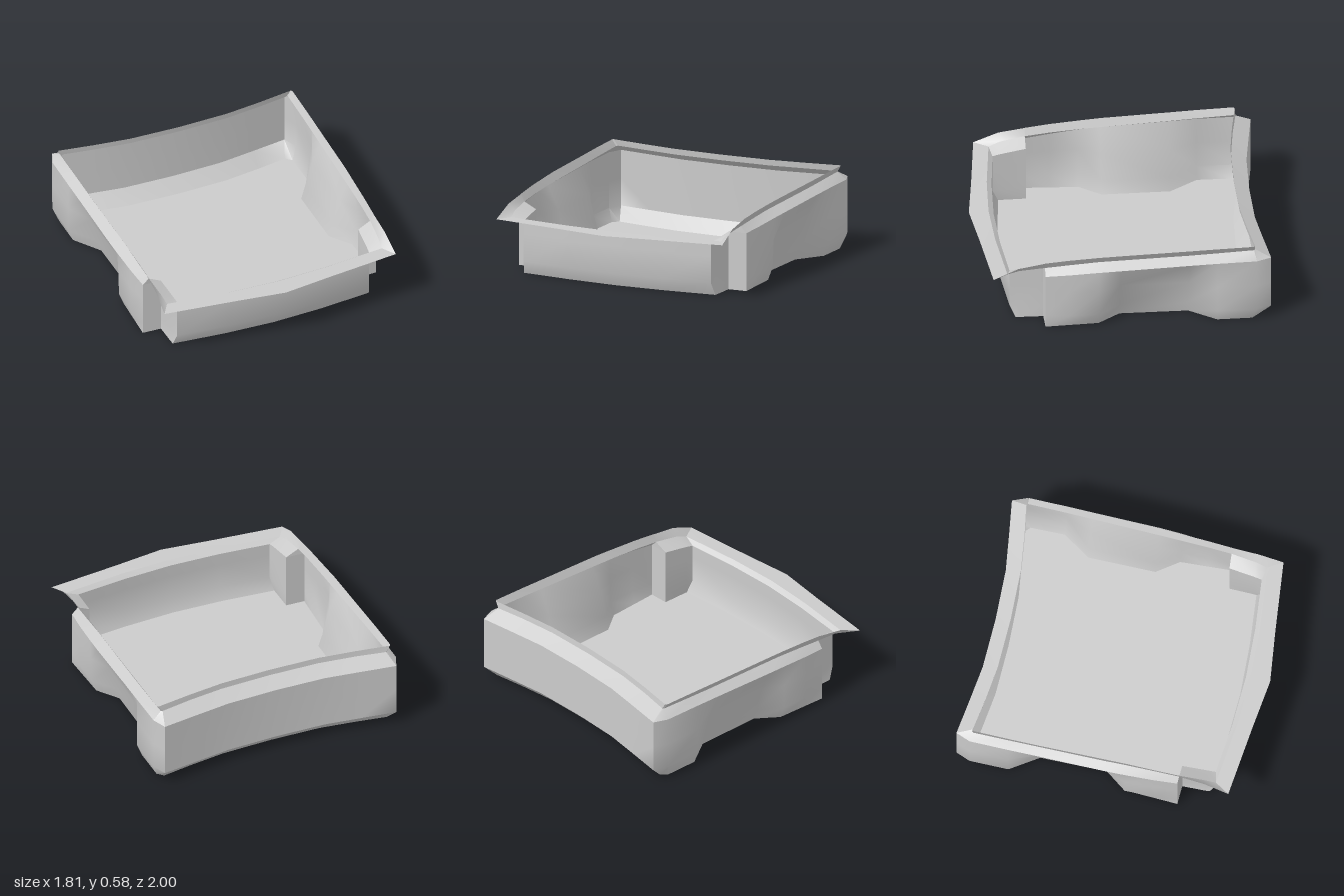
import * as THREE from 'three';
import { toCreasedNormals } from 'three/addons/utils/BufferGeometryUtils.js';

const material = new THREE.MeshStandardMaterial({ color: 0xcccccc, side: THREE.DoubleSide });

// Half outline of the wall's upper edge, back centre to front centre:
// x, z, y, inward dent, bottom inset in x, bottom inset in z
const wall = [
  [0, -0.92, 0.48, 0, 0, 0.09],
  [0.36, -0.93, 0.48, 0, 0, 0.09],
  [0.62, -0.965, 0.48, 0, 0, 0.09],
  [0.865, -1, 0.48, 0, 0.035, 0.09],
  [0.905, -0.9, 0.48, 0, 0.035, 0.03],
  [0.907, -0.63, 0.475, 0, 0.035, 0],
  [0.905, -0.44, 0.467, 1, 0.035, 0],
  [0.903, 0.03, 0.447, 1, 0.035, 0],
  [0.898, 0.18, 0.438, 0.1, 0.035, 0],
  [0.885, 0.38, 0.42, 0, 0.025, 0],
  [0.868, 0.545, 0.405, 0, 0, 0],
  [0.735, 0.55, 0.405, 0, 0, 0],
  [0.72, 0.73, 0.38, 0, -0.012, -0.02],
  [0.715, 0.78, 0.37, 0, -0.015, -0.04],
  [0.36, 0.815, 0.37, 0, 0, -0.04],
  [0, 0.83, 0.37, 0, 0, -0.04],
];

// Rim at the same stations: ledge x, z, y, then lip x, z, y
const rim = [
  [0, -0.815, 0.537, 0, -0.81, 0.578],
  [0.36, -0.825, 0.537, 0.36, -0.82, 0.578],
  [0.62, -0.857, 0.537, 0.62, -0.852, 0.578],
  [0.835, -0.893, 0.535, 0.865, -0.89, 0.578],
  [0.845, -0.885, 0.533, 0.873, -0.88, 0.578],
  [0.845, -0.63, 0.52, 0.872, -0.63, 0.57],
  [0.843, -0.44, 0.51, 0.87, -0.44, 0.562],
  [0.835, 0.03, 0.49, 0.865, 0.03, 0.544],
  [0.832, 0.18, 0.483, 0.86, 0.18, 0.535],
  [0.83, 0.38, 0.467, 0.855, 0.38, 0.52],
  [0.825, 0.545, 0.45, 0.85, 0.545, 0.502],
  [0.825, 0.55, 0.45, 0.85, 0.55, 0.5],
  [0.81, 0.72, 0.425, 0.854, 0.73, 0.47],
  [0.8, 0.8, 0.395, 0.862, 0.9, 0.395],
  [0.36, 0.848, 0.395, 0.36, 0.955, 0.392],
  [0, 0.865, 0.395, 0, 1, 0.39],
];

// Mirror a half row into a closed loop
function loop(half) {
  const other = half.slice(1, -1).reverse().map(([x, y, z]) => [-x, y, z]);
  return [...half, ...other];
}

// Skin closed loops of equal length
function loft(rows, crease) {
  const n = rows[0].length, index = [];
  for (let r = 0; r < rows.length - 1; r++) {
    for (let i = 0; i < n; i++) {
      const a = r * n + i, b = r * n + (i + 1) % n;
      index.push(a, a + n, b, b, a + n, b + n);
    }
  }
  const g = new THREE.BufferGeometry();
  g.setAttribute('position', new THREE.Float32BufferAttribute(rows.flat(2), 3));
  g.setIndex(index);
  return toCreasedNormals(g, crease);
}

export function createModel() {
  const group = new THREE.Group();
  const add = (name, geometry) => {
    const mesh = new THREE.Mesh(geometry, material);
    mesh.name = name;
    group.add(mesh);
  };

  // Wall levels: floor edge, chamfer top, middle, upper edge
  const bottom = loop(wall.map(([x, z, y, d, dx, dz]) => [x - dx - 0.125 * d, 0, z + dz]));
  const low = loop(wall.map(([x, z, y, d]) => [x - 0.13 * d, 0.09, z]));
  const middle = loop(wall.map(([x, z, y, d]) => [x - 0.08 * d, 0.28, z]));
  const top = loop(wall.map(([x, z, y]) => [x, y, z]));
  add('tubWall', loft([bottom, low, middle, top], 0.75));

  // Sloping ledge and flared lip around the opening
  const ledge = loop(rim.map(([x, z, y]) => [x, y, z]));
  const lip = loop(rim.map((p) => [p[3], p[5], p[4]]));
  add('rimLedge', loft([top, ledge], 0.5));
  add('rimLip', loft([ledge, lip], 0.5));

  // Flat floor inside the bottom edge
  const outline = new THREE.Shape(bottom.map(([x, , z]) => new THREE.Vector2(x, z)));
  add('floor', new THREE.ShapeGeometry(outline).rotateX(Math.PI / 2));

  return group;
}
